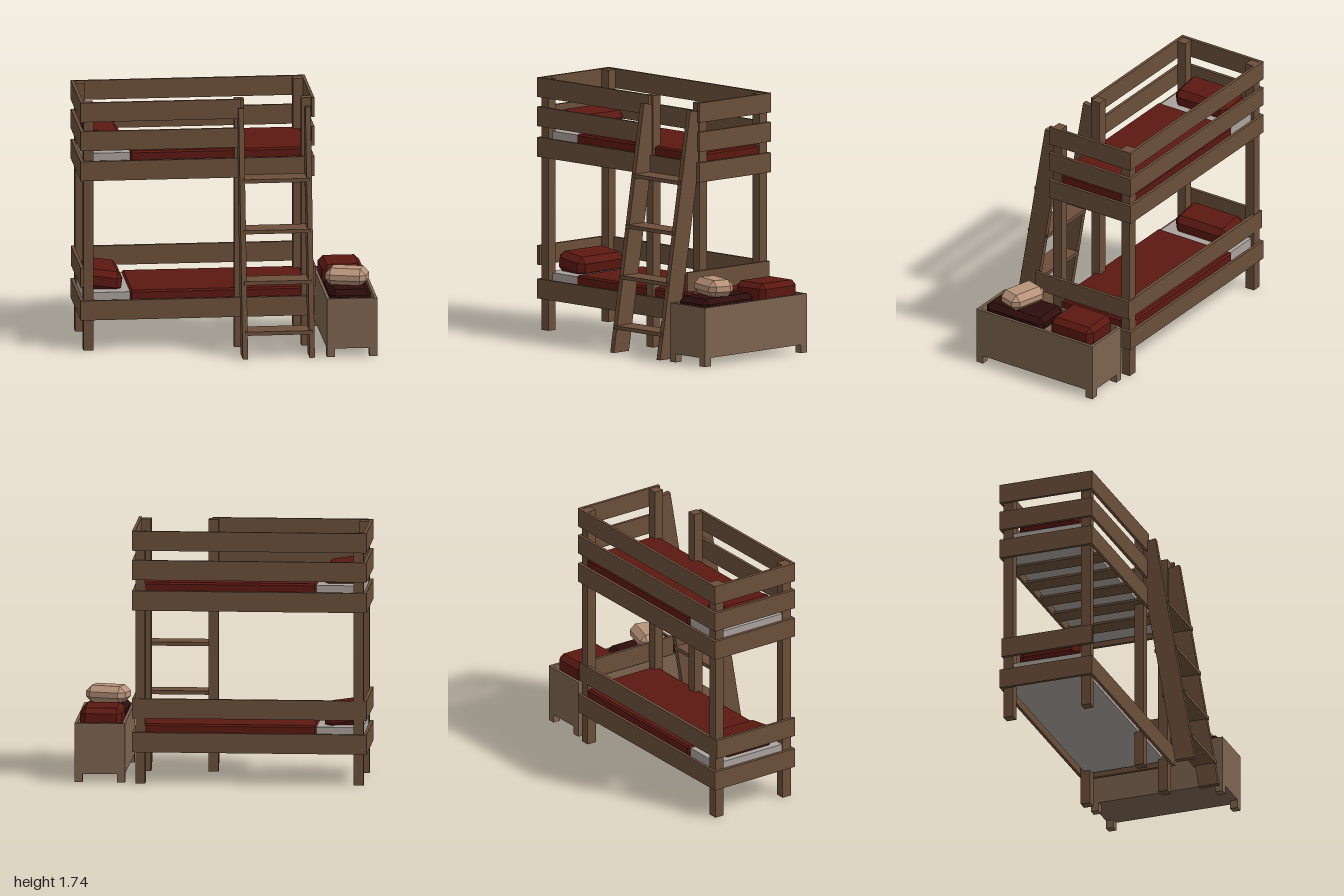
import * as THREE from 'three';
import { ConvexGeometry } from 'three/addons/geometries/ConvexGeometry.js';

const paint = (color) => new THREE.MeshStandardMaterial({ color, flatShading: true });

// Box with every edge and corner cut off flat
function chamferedBox([w, h, d], c) {
  const points = [];
  for (const sx of [-1, 1]) for (const sy of [-1, 1]) for (const sz of [-1, 1]) {
    const x = w / 2, y = h / 2, z = d / 2;
    points.push(
      new THREE.Vector3(sx * x, sy * (y - c), sz * (z - c)),
      new THREE.Vector3(sx * (x - c), sy * y, sz * (z - c)),
      new THREE.Vector3(sx * (x - c), sy * (y - c), sz * z));
  }
  return new ConvexGeometry(points);
}

export function createModel() {
  const model = new THREE.Group();
  const wood = paint(0x6b4f3a), chestWood = paint(0x7d6450), red = paint(0x5b1811);
  const darkRed = paint(0x2d0d0b), tan = paint(0xb8937a), sheet = paint(0xaaa29d);

  const add = (name, geometry, material, parent = model) => {
    const mesh = new THREE.Mesh(geometry, material);
    mesh.name = name;
    parent.add(mesh);
    return mesh;
  };
  // Box given by its limits on each axis
  const box = (name, [x0, x1], [y0, y1], [z0, z1], material, parent) => {
    const mesh = add(name, new THREE.BoxGeometry(x1 - x0, y1 - y0, z1 - z0), material, parent);
    mesh.position.set((x0 + x1) / 2, (y0 + y1) / 2, (z0 + z1) / 2);
    return mesh;
  };
  // Pillow or blanket with chamfered edges
  const soft = (name, size, pos, chamfer, material, parent) => {
    const mesh = add(name, chamferedBox(size, chamfer), material, parent);
    mesh.position.set(...pos);
    return mesh;
  };

  // Bed frame: posts
  const frame = new THREE.Group();
  frame.name = 'bedFrame';
  model.add(frame);
  const backZ = [-0.487, -0.418], frontZ = [0.078, 0.146];
  for (const x of [-0.978, 0.515]) {
    box('backPost', [x, x + 0.067], [0, 1.738], backZ, wood, frame);
    box('frontPost', [x, x + 0.067], [0, 1.738], frontZ, wood, frame);
  }
  box('ladderPost', [0.055, 0.122], [0, 1.738], frontZ, wood, frame);

  // Rails round both bunks; the upper guards leave a gap at the ladder
  const rightX = [-1, -0.978], leftX = [0.582, 0.603], endZ = [-0.507, 0.167];
  const rails = [
    { y: [0.217, 0.353], frontEnd: leftX[0] },
    { y: [1.194, 1.33], frontEnd: leftX[0] },
    { y: [1.405, 1.541], frontEnd: 0.1 },
    { y: [1.607, 1.742], frontEnd: 0.1 },
  ];
  for (const { y, frontEnd } of rails) {
    box('frontRail', [rightX[1], frontEnd], y, [0.146, 0.167], wood, frame);
    box('backRail', [rightX[1], leftX[0]], y, [-0.507, -0.487], wood, frame);
    box('rightEndRail', rightX, y, endZ, wood, frame);
    box('leftEndRail', leftX, y, endZ, wood, frame);
  }
  // Lower bunk guards on the back and both ends
  const guardY = [0.449, 0.584];
  box('lowerBackGuard', [rightX[1], leftX[0]], guardY, [-0.492, -0.468], wood, frame);
  box('rightEndGuard', rightX, guardY, [-0.492, 0.167], wood, frame);
  box('leftEndGuard', leftX, guardY, [-0.492, 0.28], wood, frame);

  // Bedding for each bunk
  for (const y of [0.238, 1.215]) {
    const bedding = new THREE.Group();
    bedding.name = y < 1 ? 'lowerBedding' : 'upperBedding';
    bedding.position.y = y;
    model.add(bedding);
    box('mattress', [-0.97, 0.56], [0.005, 0.16], [-0.465, 0.11], sheet, bedding);
    soft('blanket', [1.225, 0.1, 0.61], [-0.043, 0.122, -0.178], 0.012, red, bedding);
    const pillow = soft('pillow', [0.255, 0.145, 0.43], [-0.828, 0.216, -0.175], 0.04, red, bedding);
    pillow.rotation.z = -0.14;
  }
  // Slats under the upper mattress
  for (let i = -2; i <= 2; i++) {
    const x = -0.2 + i * 0.265;
    box('slat', [x - 0.067, x + 0.067], [1.205, 1.225], [-0.487, 0.146], wood, frame);
  }

  // Leaning ladder
  const ladder = new THREE.Group();
  ladder.name = 'ladder';
  model.add(ladder);
  const side = new THREE.Shape([[0.507, 0], [0.222, 1.692], [0.085, 1.668], [0.365, 0]]
    .map(([z, y]) => new THREE.Vector2(z, y)));
  const stileGeometry = new THREE.ExtrudeGeometry(side, { depth: 0.036, bevelEnabled: false });
  for (const x of [0.113, 0.571]) {
    const stile = add('ladderStile', stileGeometry, wood, ladder);
    stile.rotation.y = -Math.PI / 2;
    stile.position.x = x;
  }
  for (const y of [0.173, 0.513, 0.857, 1.2]) {
    const z = 0.435 - 0.167 * y;
    box('ladderRung', [0.095, 0.557], [y - 0.013, y + 0.013], [z - 0.082, z + 0.082], wood, ladder);
  }

  // Storage chest with a recessed top and short legs
  const chest = new THREE.Group();
  chest.name = 'chest';
  model.add(chest);
  const X = [0.655, 1], Z = [-0.465, 0.495], wallY = [0.058, 0.407], t = 0.02;
  box('chestFrontWall', X, wallY, [Z[1] - t, Z[1]], chestWood, chest);
  box('chestBackWall', X, wallY, [Z[0], Z[0] + t], chestWood, chest);
  const innerZ = [Z[0] + t, Z[1] - t];
  box('chestRightWall', [X[0], X[0] + t], wallY, innerZ, chestWood, chest);
  box('chestLeftWall', [X[1] - t, X[1]], wallY, innerZ, chestWood, chest);
  box('chestBody', [X[0] + t, X[1] - t], [0.058, 0.36], innerZ, chestWood, chest);
  for (const x of [X[0], X[1] - 0.055])
    for (const z of [Z[0], Z[1] - 0.055])
      box('chestLeg', [x, x + 0.055], [0, 0.058], [z, z + 0.055], chestWood, chest);

  // Cushions on the chest
  soft('redCushion', [0.285, 0.16, 0.345], [0.823, 0.422, -0.253], 0.035, red, chest);
  soft('darkCushion', [0.285, 0.11, 0.475], [0.823, 0.398, 0.219], 0.035, darkRed, chest);
  const small = soft('smallPillow', [0.285, 0.118, 0.19], [0.818, 0.508, 0.237], 0.04, tan, chest);
  small.rotation.y = -0.28;

  return model;
}
